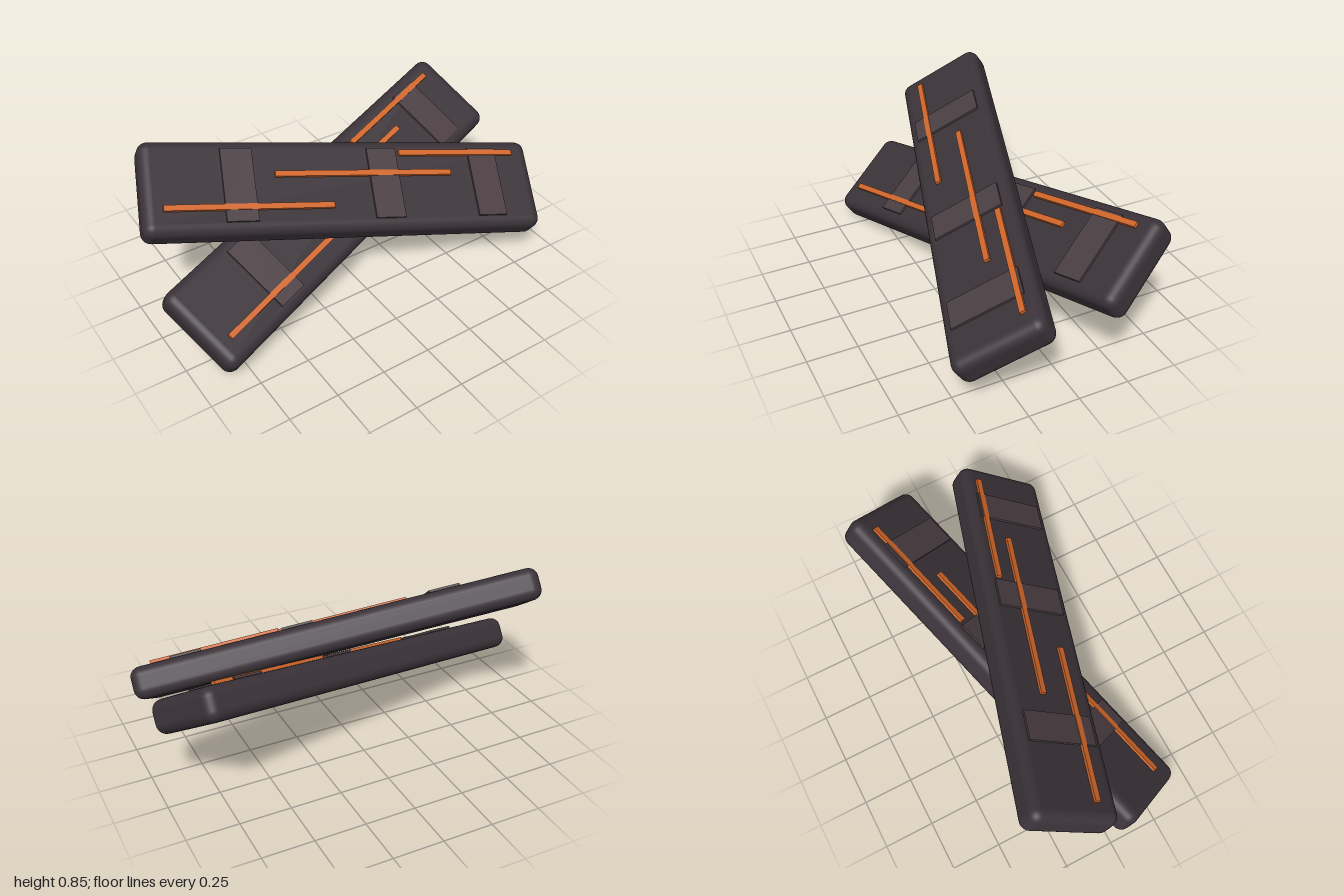
import * as THREE from 'three';
import { RoundedBoxGeometry } from 'three/addons/geometries/RoundedBoxGeometry.js';

const LENGTH = 1.985, THICK = 0.157, WIDTH = 0.464, RADIUS = 0.05;
const rad = THREE.MathUtils.degToRad;

const bark = new THREE.MeshStandardMaterial({ color: 0x3a3238 });
const plate = new THREE.MeshStandardMaterial({ color: 0x4a3e42 });
const ember = new THREE.MeshStandardMaterial({ color: 0xd0662a });

// a thin slab sunk into the top face of a plank, standing proud by `rise`
function inlay(name, material, x, z, length, width, rise) {
  const sunk = 0.01;
  const mesh = new THREE.Mesh(new THREE.BoxGeometry(length, rise + sunk, width), material);
  mesh.position.set(x, THICK / 2 + (rise - sunk) / 2, z);
  mesh.name = name;
  return mesh;
}

function createPlank(name) {
  const plank = new THREE.Group();
  plank.name = name;

  const body = new THREE.Mesh(new RoundedBoxGeometry(LENGTH, THICK, WIDTH, 4, RADIUS), bark);
  body.name = 'plankBody';
  plank.add(body);

  // cross plates
  for (const x of [-0.545, 0.178, 0.72]) {
    plank.add(inlay('crossPlate', plate, x, 0, 0.15, 0.36, 0.011));
  }

  // glowing strips: start, end, sideways offset
  for (const [x0, x1, z] of [[-0.9, -0.1, 0.11], [-0.37, 0.53, -0.05], [0.27, 0.89, -0.155]]) {
    plank.add(inlay('glowStrip', ember, (x0 + x1) / 2, z, x1 - x0, 0.028, 0.015));
  }
  return plank;
}

export function createModel() {
  const model = new THREE.Group();
  model.name = 'crossedPlanks';

  // both planks lie in parallel planes leaning back
  const tilt = new THREE.Group();
  tilt.name = 'leaningPair';
  tilt.rotation.x = rad(34);
  model.add(tilt);

  for (const [name, height, turn] of [['lowerPlank', 0.269, 20], ['upperPlank', 0.4475, -20]]) {
    const plank = createPlank(name);
    plank.position.set(0, height, -0.237);
    plank.rotation.y = rad(turn);
    tilt.add(plank);
  }
  return model;
}
